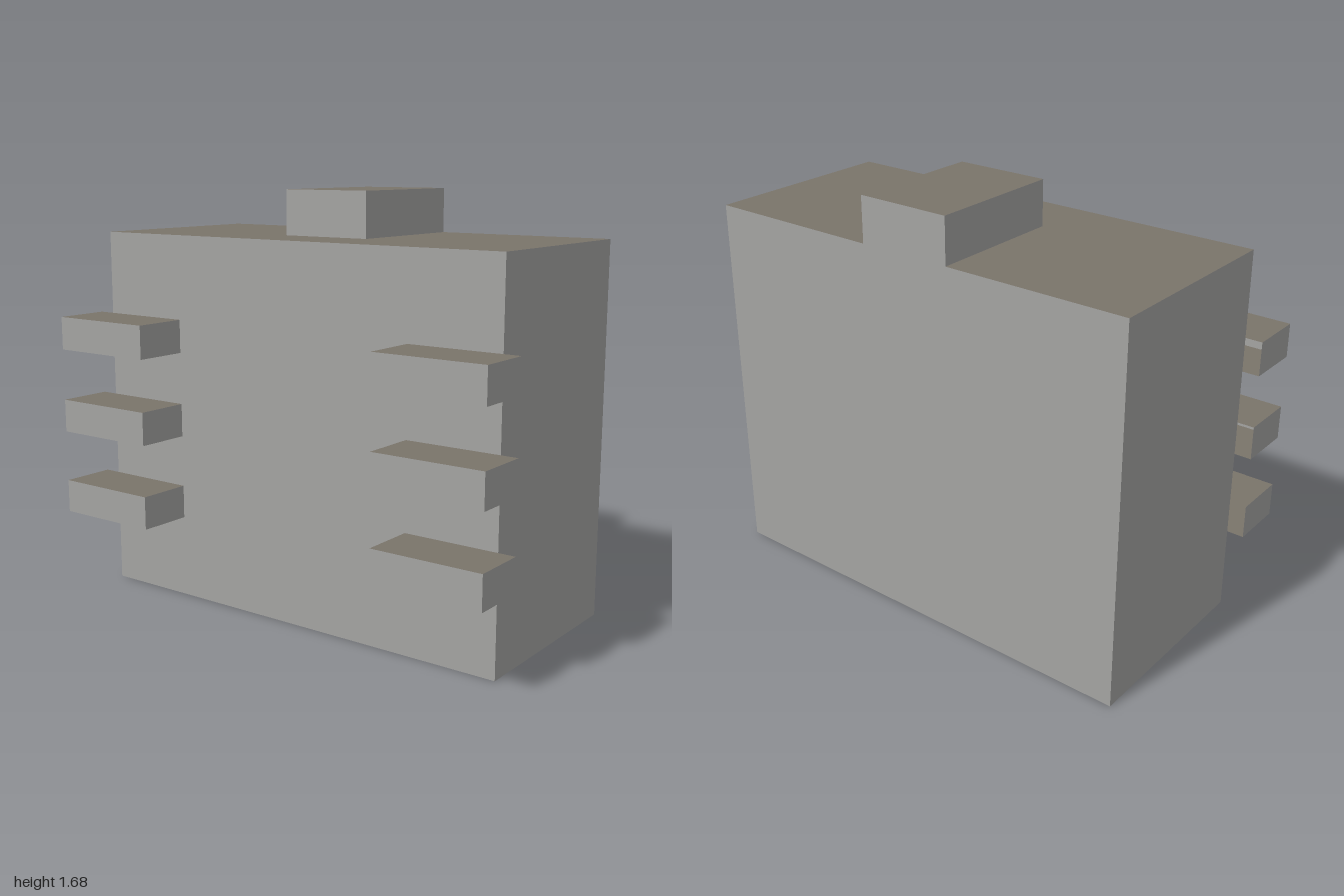
import * as THREE from 'three';

const wall = new THREE.MeshStandardMaterial({ name: 'grey wall', color: 0xa4a4a2, side: THREE.DoubleSide });
const slab = new THREE.MeshStandardMaterial({ name: 'brown slab', color: 0x7a746a, side: THREE.DoubleSide });

// Box shell between two corners, without the listed open sides; upright faces grey, level faces brown
const SIDES = ['+x', '-x', '+y', '-y', '+z', '-z'];
function shell(name, [x0, y0, z0], [x1, y1, z1], open) {
  const geo = new THREE.BoxGeometry(x1 - x0, y1 - y0, z1 - z0);
  geo.translate((x0 + x1) / 2, (y0 + y1) / 2, (z0 + z1) / 2);
  const all = Array.from(geo.index.array);
  const index = [];
  geo.clearGroups();
  SIDES.forEach((side, i) => {
    if (open.includes(side)) return;
    geo.addGroup(index.length, 6, side[1] === 'y' ? 1 : 0);
    index.push(...all.slice(i * 6, i * 6 + 6));
  });
  geo.setIndex(index);
  const mesh = new THREE.Mesh(geo, [wall, slab]);
  mesh.name = name;
  return mesh;
}

export function createModel() {
  const model = new THREE.Group();
  model.name = 'block';
  const W = 0.932, H = 1.5, back = -0.515, front = 0.292;
  const tx0 = -0.194, tx1 = 0.191, tz = 0.04;

  // Main body, open underneath
  model.add(shell('body', [-W, 0, back], [W, H, front], ['+y', '-y']));

  // Top of the body, notched where the tower rises from it
  const outline = [[-W, front], [W, front], [W, back], [tx1, back], [tx1, tz], [tx0, tz], [tx0, back], [-W, back]];
  const topGeo = new THREE.ShapeGeometry(new THREE.Shape(outline.map(([x, z]) => new THREE.Vector2(x, -z))));
  topGeo.rotateX(-Math.PI / 2);
  const top = new THREE.Mesh(topGeo, slab);
  top.name = 'bodyTop';
  top.position.y = H;
  model.add(top);

  // Tower on the top, flush with the back
  model.add(shell('tower', [tx0, H, back], [tx1, 1.68, tz], ['-y']));

  // Three hollow bars on each side of the front, open towards the body
  for (const y of [0.335, 0.68, 1.026]) {
    model.add(shell('rightBar', [-1, y, front], [-0.548, y + 0.135, 0.515], ['-z']));
    model.add(shell('leftBar', [0.548, y, front], [1, y + 0.135, 0.515], ['-z']));
  }
  return model;
}
